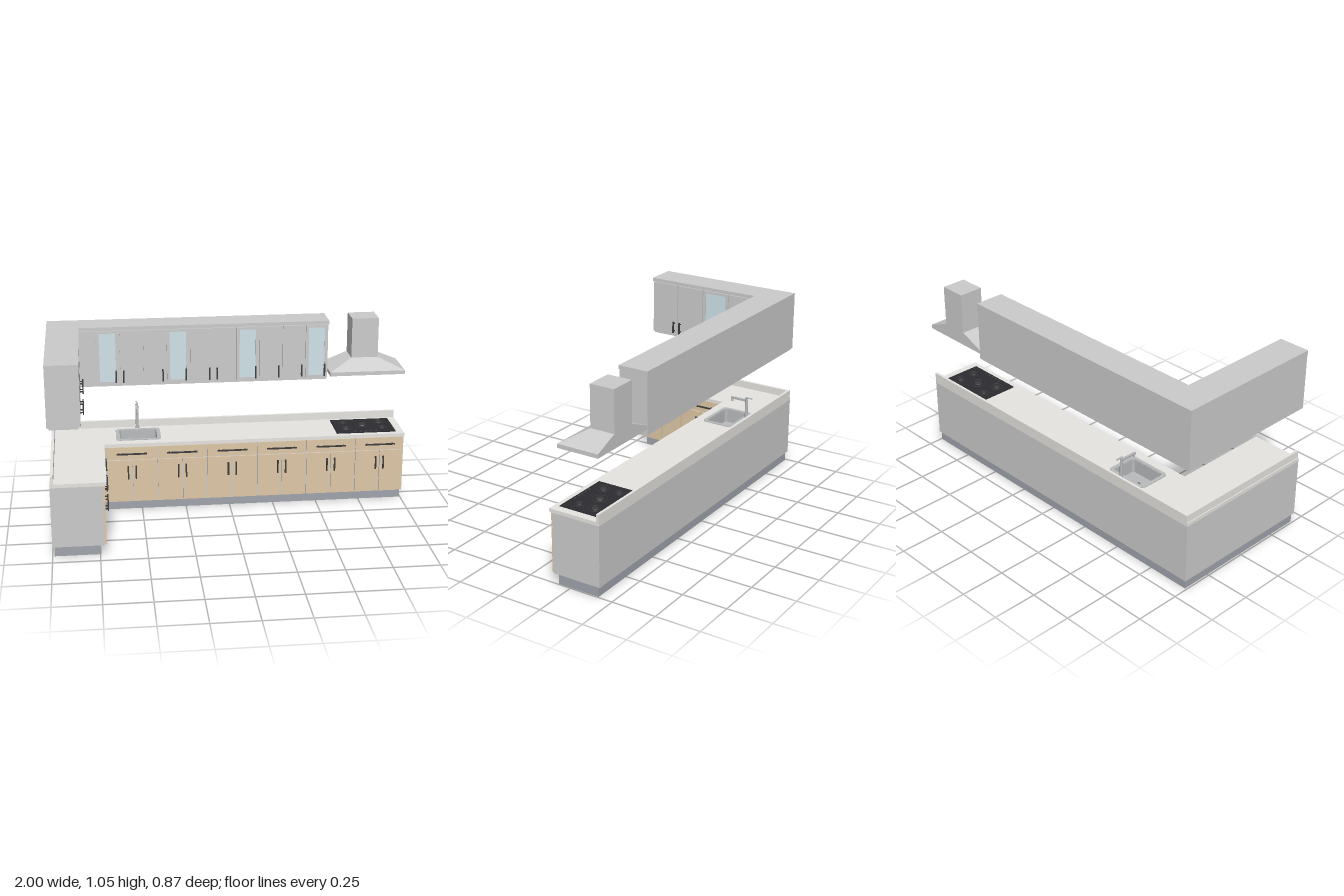
import * as THREE from 'three';

const mat = (color) => new THREE.MeshStandardMaterial({ color });
const GREY = mat(0xcccccc), WOOD = mat(0xdfc8a6), TOP = mat(0xe6e5e1), PLINTH = mat(0xa0a4ac);
const DARK = mat(0x3c3c3e), GLASS = mat(0xcfe2e8), STEEL = mat(0xb9bbbd), BLACK = mat(0x2c2c30);

function add(parent, name, geometry, material, x = 0, y = 0, z = 0) {
  const m = new THREE.Mesh(geometry, material);
  m.name = name;
  m.position.set(x, y, z);
  parent.add(m);
  return m;
}

// Box given by its minimum and maximum corners
function box(parent, name, material, x0, x1, y0, y1, z0, z1) {
  return add(parent, name, new THREE.BoxGeometry(x1 - x0, y1 - y0, z1 - z0), material,
    (x0 + x1) / 2, (y0 + y1) / 2, (z0 + z1) / 2);
}

function roundedRect(path, x0, x1, y0, y1, r) {
  path.moveTo(x0 + r, y0);
  path.lineTo(x1 - r, y0);
  path.absarc(x1 - r, y0 + r, r, -Math.PI / 2, 0);
  path.absarc(x1 - r, y1 - r, r, 0, Math.PI / 2);
  path.absarc(x0 + r, y1 - r, r, Math.PI / 2, Math.PI);
  path.absarc(x0 + r, y0 + r, r, Math.PI, Math.PI * 1.5);
  return path;
}

// Extrudes a plan outline (x, -z) upwards from y0 to y1
function slab(parent, name, material, shape, y0, y1) {
  const g = new THREE.ExtrudeGeometry(shape, { depth: y1 - y0, bevelEnabled: false, curveSegments: 6 });
  g.rotateX(-Math.PI / 2);
  return add(parent, name, g, material, 0, y0, 0);
}

// L-shaped plan: back run to x1, left run to z1, inner corner at (xi, zi)
function lPlan(x0, z0, x1, z1, xi, zi, hole) {
  const pts = [[x0, z1], [xi, z1], [xi, zi], [x1, zi], [x1, z0], [x0, z0]];
  const s = new THREE.Shape(pts.map(([x, z]) => new THREE.Vector2(x, -z)));
  if (hole) s.holes.push(hole);
  return s;
}

// Bar handle on two posts, standing on the plane z
function handle(parent, cx, cy, z, length, vertical) {
  const g = new THREE.Group();
  g.name = 'handle';
  box(g, 'handleBar', DARK, -length / 2, length / 2, -0.004, 0.004, 0.012, 0.019);
  for (const s of [-1, 1]) {
    const p = s * (length / 2 - 0.012);
    box(g, 'handlePost', DARK, p - 0.003, p + 0.003, -0.003, 0.003, 0, 0.013);
  }
  if (vertical) g.rotation.z = Math.PI / 2;
  g.position.set(cx, cy, z);
  parent.add(g);
}

const GAP = 0.0035, THICK = 0.011;

function panel(parent, name, material, u0, u1, y0, y1, z) {
  box(parent, name, material, u0 + GAP, u1 - GAP, y0 + GAP, y1 - GAP, z - THICK, z);
}

// Base unit: a drawer over a pair of doors
function baseUnit(parent, u0, u1, z) {
  const mid = (u0 + u1) / 2;
  panel(parent, 'drawerFront', WOOD, u0, u1, 0.311, 0.389, z);
  handle(parent, mid, 0.35, z, 0.17, false);
  panel(parent, 'baseDoor', WOOD, u0, mid, 0.056, 0.311, z);
  panel(parent, 'baseDoor', WOOD, mid, u1, 0.056, 0.311, z);
  for (const s of [-1, 1]) handle(parent, mid + s * 0.022, 0.24, z, 0.078, true);
}

// Wall door, plain or glazed; side is where the handle sits (-1, 0, 1)
function wallDoor(parent, u0, u1, z, glazed, side) {
  const y0 = 0.715, y1 = 1.03;
  if (glazed) {
    const s = new THREE.Shape();
    roundedRect(s, u0 + GAP, u1 - GAP, y0 + GAP, y1 - GAP, 0.0005);
    s.holes.push(roundedRect(new THREE.Path(), u0 + 0.02, u1 - 0.02, 0.735, 1.013, 0.0005));
    add(parent, 'glassDoorFrame', new THREE.ExtrudeGeometry(s, { depth: THICK, bevelEnabled: false, curveSegments: 1 }),
      GREY, 0, 0, z - THICK);
    box(parent, 'glassPane', GLASS, u0 + 0.018, u1 - 0.018, 0.733, 1.015, z - 0.008, z - 0.004);
  } else panel(parent, 'wallDoor', GREY, u0, u1, y0, y1, z);
  if (side) handle(parent, side > 0 ? u1 - 0.021 : u0 + 0.021, 0.768, z, 0.07, true);
}

// Group whose +z faces the inside of the left run (local x = -world z)
function leftRun(parent, name) {
  const g = new THREE.Group();
  g.name = name;
  g.rotation.y = Math.PI / 2;
  parent.add(g);
  return g;
}

function baseCabinets(root) {
  const sinkHole = () => roundedRect(new THREE.Path(), -0.62, -0.4, 0.2, 0.355, 0.015);
  slab(root, 'plinth', PLINTH, lPlan(-0.99, -0.417, 0.995, 0.42, -0.745, -0.177), 0, 0.055);
  slab(root, 'baseCarcass', GREY, lPlan(-1, -0.427, 1, 0.43, -0.726, -0.151, sinkHole()), 0.055, 0.39);
  slab(root, 'worktop', TOP, lPlan(-1, -0.427, 1, 0.43, -0.705, -0.132, sinkHole()), 0.39, 0.41);
  slab(root, 'backsplash', TOP, lPlan(-0.995, -0.427, 1, 0.43, -0.98, -0.412), 0.41, 0.452);

  const back = new THREE.Group();
  back.name = 'backBaseFronts';
  root.add(back);
  for (let i = 0; i < 6; i++) baseUnit(back, 1 - (i + 1) * 0.2825, 1 - i * 0.2825, -0.14);
  panel(back, 'cornerFiller', WOOD, -0.727, -0.695, 0.056, 0.389, -0.14);

  const left = leftRun(root, 'leftBaseFronts');
  for (let i = 0; i < 2; i++) baseUnit(left, -0.43 + i * 0.273, -0.43 + (i + 1) * 0.273, -0.715);
  panel(left, 'cornerFiller', WOOD, 0.116, 0.151, 0.056, 0.389, -0.715);
}

function wallCabinets(root) {
  slab(root, 'wallCabinetBase', GREY, lPlan(-0.99, -0.417, 0.565, 0.425, -0.84, -0.275), 0.705, 0.715);
  slab(root, 'wallCarcass', GREY, lPlan(-1, -0.427, 0.57, 0.43, -0.837, -0.272), 0.715, 1.03);
  slab(root, 'cornice', GREY, lPlan(-1, -0.427, 0.573, 0.433, -0.824, -0.258), 1.03, 1.05);

  const back = new THREE.Group();
  back.name = 'backWallDoors';
  root.add(back);
  const w = 0.1305, sides = [1, -1, 1, 1, 1, -1, 1, 1, 1, 1];
  for (let i = 0; i < 10; i++) wallDoor(back, -0.735 + i * w, -0.735 + (i + 1) * w, -0.26, i % 3 === 0, sides[i]);
  panel(back, 'cornerFiller', GREY, -0.826, -0.735, 0.715, 1.03, -0.26);

  const left = leftRun(root, 'leftWallDoors');
  const l = 0.1725;
  [1, -1, 1, -1].forEach((s, i) => wallDoor(left, -0.43 + i * l, -0.43 + (i + 1) * l, -0.826, i === 2, s));
}

function sinkAndTap(root) {
  // Rim with raised edge
  const rim = roundedRect(new THREE.Shape(), -0.636, -0.384, 0.185, 0.372, 0.025);
  rim.holes.push(roundedRect(new THREE.Path(), -0.617, -0.403, 0.203, 0.352, 0.018));
  slab(root, 'sinkRim', STEEL, rim, 0.408, 0.414);
  // Bowl walls, floor and drain
  const wall = roundedRect(new THREE.Shape(), -0.62, -0.4, 0.2, 0.355, 0.015);
  wall.holes.push(roundedRect(new THREE.Path(), -0.614, -0.406, 0.206, 0.349, 0.015));
  slab(root, 'sinkBowl', STEEL, wall, 0.33, 0.41);
  slab(root, 'sinkFloor', STEEL, roundedRect(new THREE.Shape(), -0.62, -0.4, 0.2, 0.355, 0.015), 0.325, 0.335);
  add(root, 'sinkDrain', new THREE.CylinderGeometry(0.016, 0.016, 0.004, 16), DARK, -0.51, 0.336, -0.28);

  // Tap: column, spout, nozzle and lever
  const tap = new THREE.Group();
  tap.name = 'tap';
  tap.position.set(-0.51, 0.41, -0.398);
  root.add(tap);
  add(tap, 'tapFoot', new THREE.CylinderGeometry(0.012, 0.012, 0.006, 16), STEEL, 0, 0.003, 0);
  add(tap, 'tapColumn', new THREE.CylinderGeometry(0.0085, 0.0085, 0.14, 16), STEEL, 0, 0.07, 0);
  box(tap, 'tapSpout', STEEL, -0.006, 0.006, 0.123, 0.135, 0, 0.097);
  add(tap, 'tapNozzle', new THREE.CylinderGeometry(0.005, 0.005, 0.018, 12), STEEL, 0, 0.117, 0.091);
  box(tap, 'tapLever', STEEL, -0.004, 0.004, 0.143, 0.148, -0.034, 0.006);
  add(tap, 'tapCap', new THREE.CylinderGeometry(0.006, 0.006, 0.008, 12), STEEL, 0, 0.142, 0);
}

function hob(root) {
  box(root, 'hobPlate', BLACK, 0.615, 0.955, 0.41, 0.415, -0.385, -0.163);
  for (const [x, z, r] of [[0.68, -0.33, 0.026], [0.68, -0.235, 0.034], [0.785, -0.285, 0.04], [0.89, -0.33, 0.034], [0.89, -0.235, 0.026]]) {
    const ring = add(root, 'burnerRing', new THREE.TorusGeometry(r, 0.002, 6, 24), DARK, x, 0.416, z);
    ring.rotation.x = Math.PI / 2;
    add(root, 'burnerCap', new THREE.CylinderGeometry(r * 0.5, r * 0.55, 0.004, 20), DARK, x, 0.417, z);
  }
  for (let i = 0; i < 5; i++)
    add(root, 'hobKnob', new THREE.CylinderGeometry(0.006, 0.007, 0.004, 12), DARK, 0.725 + i * 0.03, 0.417, -0.178);
}

function hood(root) {
  const x0 = 0.573, x1 = 1, zb = -0.427, zf = -0.19;
  box(root, 'hoodLip', GREY, x0, x1, 0.745, 0.767, zb, zf);
  box(root, 'hoodFilter', BLACK, x0 + 0.01, x1 - 0.01, 0.743, 0.746, zb + 0.01, zf - 0.01);
  // Canopy: a box with its top drawn in to the chimney
  const g = new THREE.BoxGeometry(1, 1, 1), p = g.attributes.position;
  for (let i = 0; i < p.count; i++) {
    const top = p.getY(i) > 0, right = p.getX(i) > 0, front = p.getZ(i) > 0;
    p.setXYZ(i, top ? (right ? 0.862 : 0.71) : (right ? x1 : x0), top ? 0.822 : 0.767,
      front ? (top ? -0.288 : zf) : zb);
  }
  g.computeVertexNormals();
  add(root, 'hoodCanopy', g, GREY);
  box(root, 'hoodChimney', GREY, 0.71, 0.862, 0.82, 1.05, zb, -0.288);
}

export function createModel() {
  const root = new THREE.Group();
  root.name = 'fittedKitchen';
  for (const build of [baseCabinets, wallCabinets, sinkAndTap, hob, hood]) build(root);
  return root;
}
